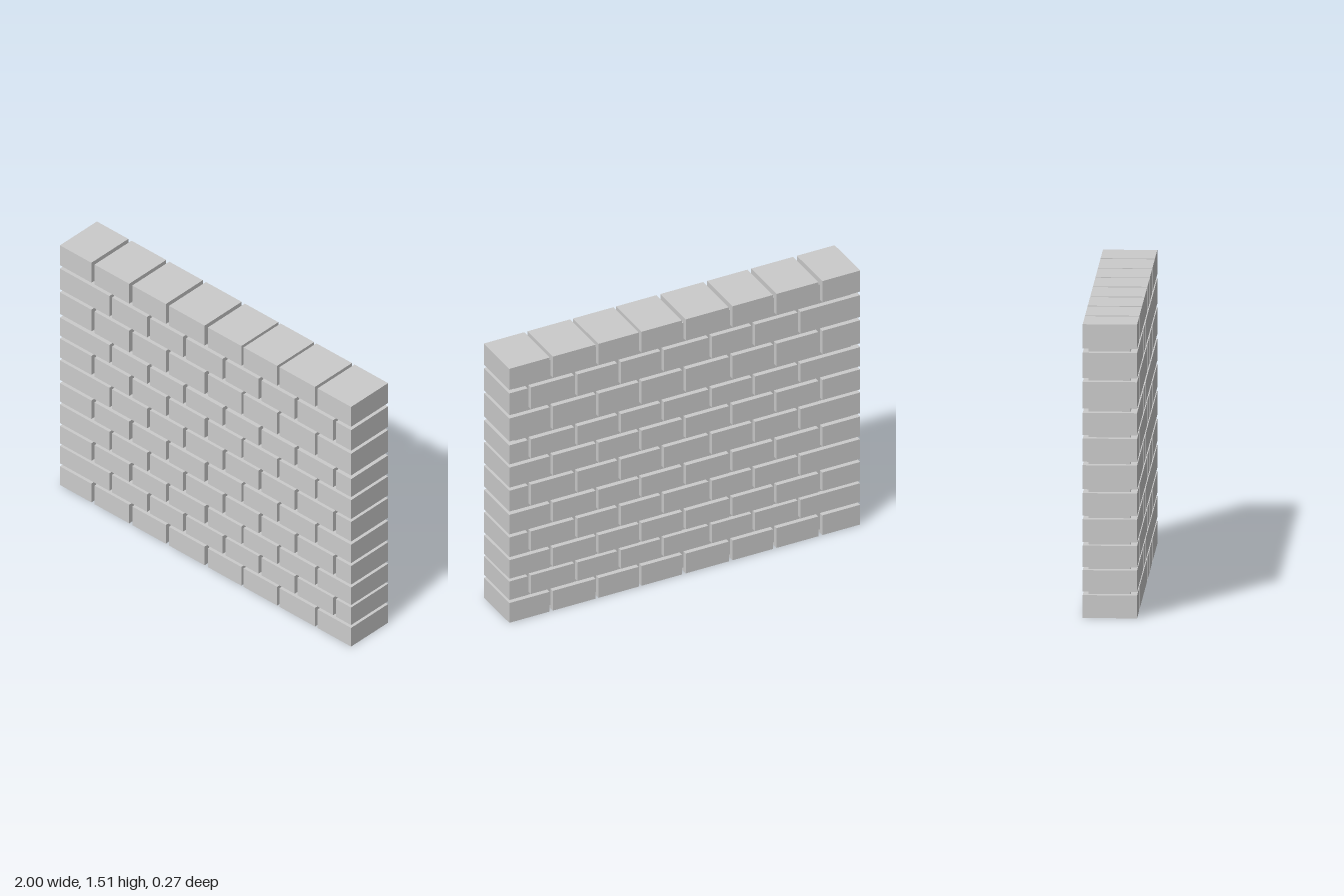
import * as THREE from 'three';

// bottom and top height of each course
const courses = [
  [0, 0.117], [0.135, 0.245], [0.261, 0.371], [0.389, 0.506], [0.524, 0.64], [0.66, 0.783],
  [0.801, 0.92], [0.939, 1.052], [1.075, 1.211], [1.231, 1.36], [1.381, 1.506],
];
// left and right ends of the bricks in the two alternating bonds
const bonds = [
  [[-1, -0.784], [-0.762, -0.524], [-0.503, -0.273], [-0.251, -0.006],
    [0.016, 0.246], [0.262, 0.492], [0.508, 0.752], [0.77, 1]],
  [[-1, -0.66], [-0.642, -0.401], [-0.381, -0.155], [-0.134, 0.118],
    [0.139, 0.364], [0.385, 0.612], [0.631, 0.877], [0.895, 1]],
];
const depth = 0.274;

export function createModel() {
  const wall = new THREE.Group();
  wall.name = 'brickWall';
  const material = new THREE.MeshStandardMaterial({ color: 0xcccccc });

  // box spanning the given x, y and z ranges
  const addBox = (parent, name, [x0, x1], [y0, y1], [z0, z1]) => {
    const mesh = new THREE.Mesh(new THREE.BoxGeometry(x1 - x0, y1 - y0, z1 - z0), material);
    mesh.position.set((x0 + x1) / 2, (y0 + y1) / 2, (z0 + z1) / 2);
    mesh.name = name;
    parent.add(mesh);
  };

  // recessed mortar core, visible in the joints
  addBox(wall, 'mortar', [-0.963, 0.957], [0.02, 1.472], [-0.11, 0.103]);

  // brick courses in running bond
  courses.forEach((ySpan, row) => {
    const course = new THREE.Group();
    course.name = `course${row + 1}`;
    bonds[row % 2].forEach((xSpan, i) =>
      addBox(course, `brick${i + 1}`, xSpan, ySpan, [-depth / 2, depth / 2]));
    wall.add(course);
  });

  return wall;
}
